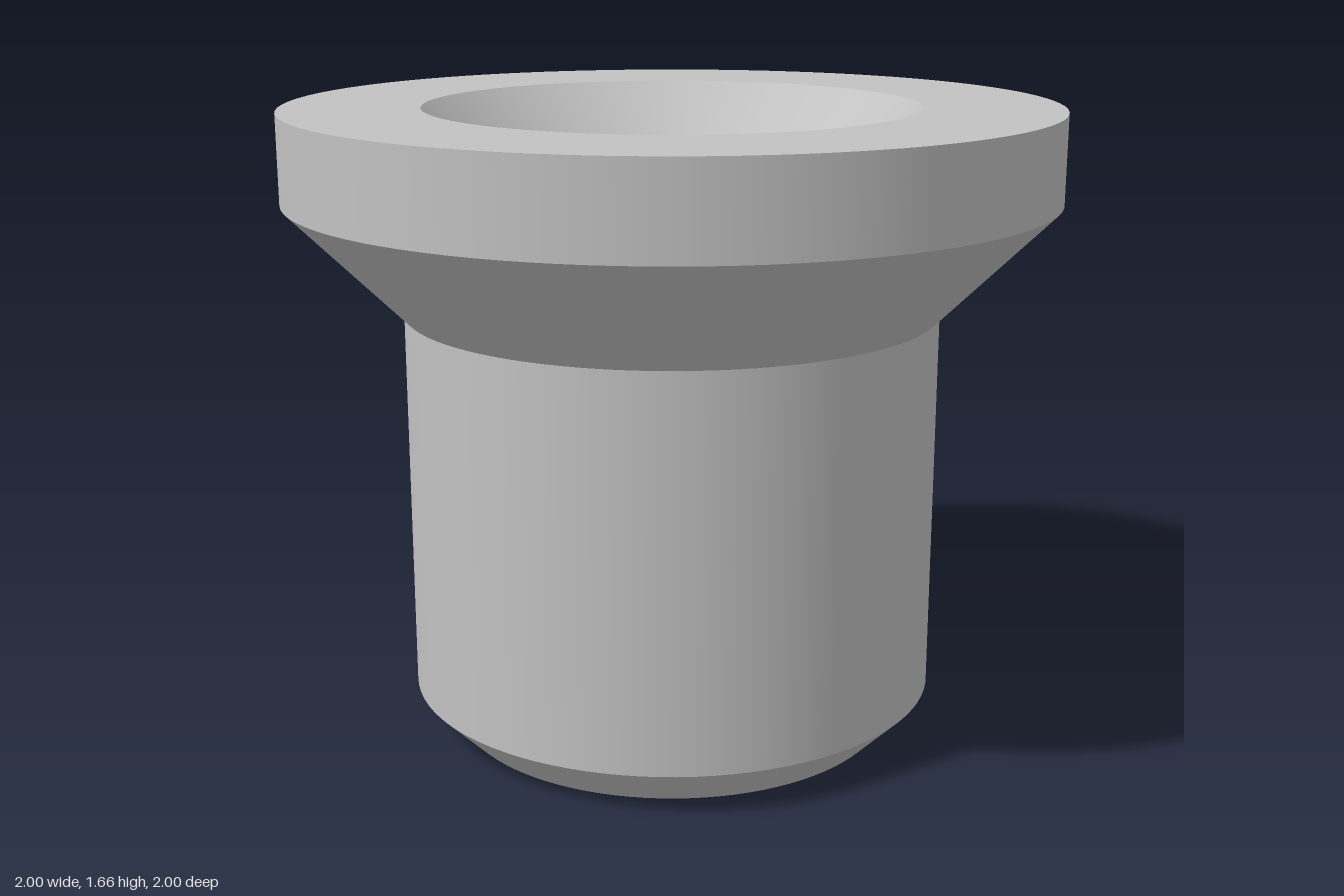
import * as THREE from 'three';

export function createModel() {
  const group = new THREE.Group();
  group.name = 'flangedBushing';
  const metal = new THREE.MeshStandardMaterial({ color: 0xc2c2c2 });
  metal.name = 'grey metal';

  // Each surface is one straight band of the turned profile, so edges between bands stay sharp
  const profile = [
    [0, 0],
    [0.585, 0, 'bottomFace'],
    [0.7, 0.115, 'bottomChamfer'],
    [0.7, 1.13, 'shank'],
    [1, 1.43, 'flangeCone'],
    [1, 1.66, 'flangeRim'],
    [0.64, 1.66, 'flangeTop'],
    [0.5, 1.52, 'countersink'],
    [0.5, 0.2, 'boreWall'],
    [0, 0.2, 'boreFloor'],
  ];

  for (let i = 1; i < profile.length; i++) {
    const [r0, y0] = profile[i - 1];
    const [r1, y1, name] = profile[i];
    const points = [new THREE.Vector2(r0, y0), new THREE.Vector2(r1, y1)];
    const mesh = new THREE.Mesh(new THREE.LatheGeometry(points, 96), metal);
    mesh.name = name;
    group.add(mesh);
  }
  return group;
}
